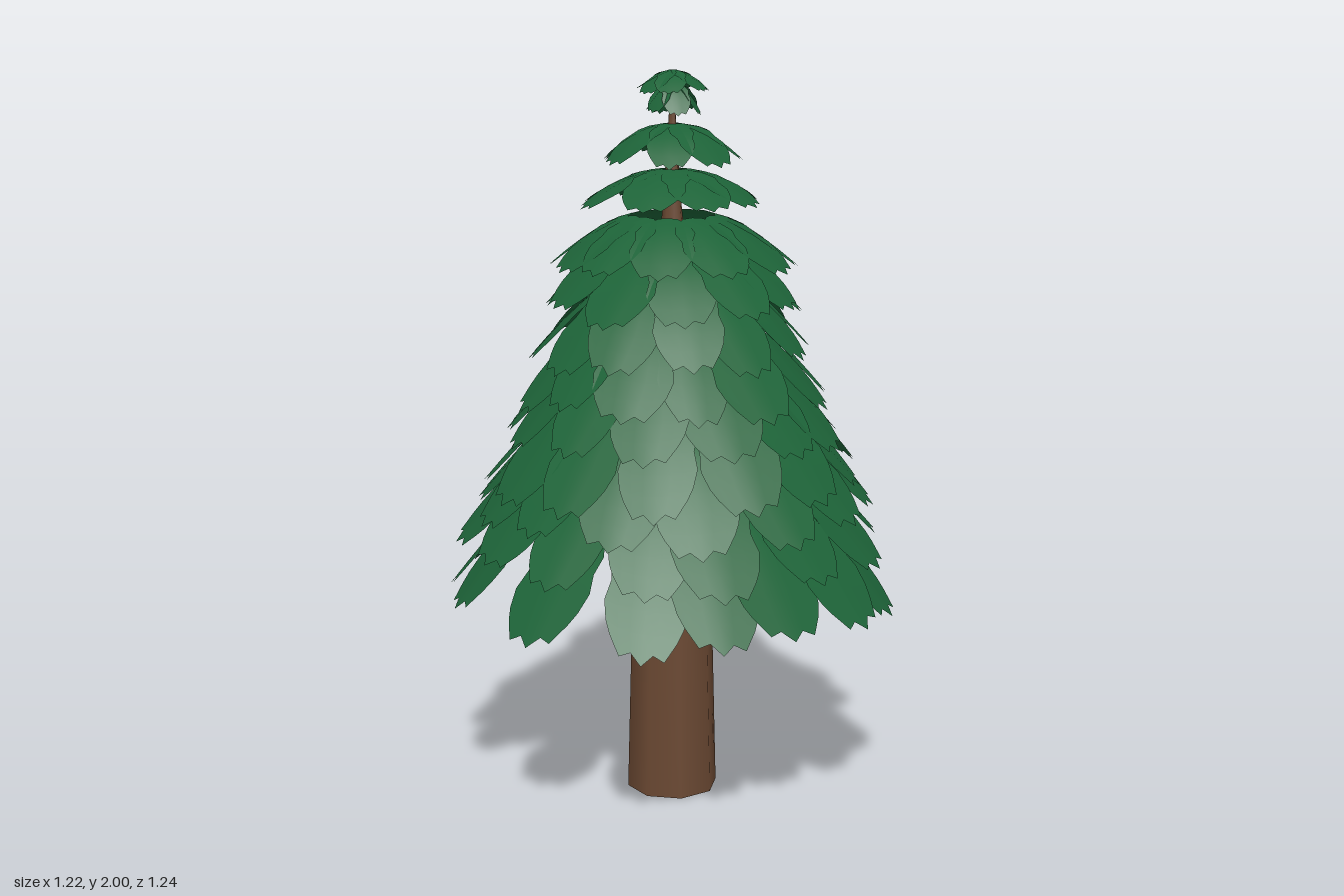
import * as THREE from 'three';
import { mergeGeometries } from 'three/addons/utils/BufferGeometryUtils.js';

const green = new THREE.MeshStandardMaterial({ color: 0x1d6338, side: THREE.DoubleSide });
green.name = 'needleGreen';
const brown = new THREE.MeshStandardMaterial({ color: 0x6a4832, side: THREE.DoubleSide });
brown.name = 'barkBrown';

// Small seeded generator, returns -1..1
let seed = 11;
const jitter = () => {
  seed = (seed * 16807) % 2147483647;
  return (seed / 2147483647) * 2 - 1;
};

// Half-width of a leaf from stem to tip; the alternation makes the ragged sides
const SPAN = [0.3, 0.72, 0.92, 0.88, 1.0, 0.92, 0.8];
const COLS = 6;

// One nearly flat, saw-toothed leaf from (r0, y0) out to (r1, y1), pointing along angle a.
// roll tips it sideways, bend > 1 makes it droop towards the tip.
function leaf(r0, y0, r1, y1, width, a, roll, bend) {
  const pos = [], index = [], rows = SPAN.length - 1;
  for (let i = 0; i <= rows; i++) {
    for (let j = 0; j <= COLS; j++) {
      const u = (j / COLS) * 2 - 1;
      // Rounded tip with teeth
      const reach = 1 - 0.13 * u * u - (j % 2 ? 0 : 0.07);
      const t = (i / rows) * (i === rows ? reach : 0.95 - 0.1 * u * u);
      const r = r0 + (r1 - r0) * t;
      const side = u * SPAN[i] * width / 2;
      const y = y0 + (y1 - y0) * Math.pow(t, bend) + side * roll - Math.abs(side) * 0.09;
      pos.push(r * Math.cos(a) - side * Math.sin(a), y, r * Math.sin(a) + side * Math.cos(a));
    }
  }
  for (let i = 0; i < rows; i++) {
    for (let j = 0; j < COLS; j++) {
      const p = i * (COLS + 1) + j, q = p + COLS + 1;
      index.push(p, p + 1, q, p + 1, q + 1, q);
    }
  }
  const g = new THREE.BufferGeometry();
  g.setAttribute('position', new THREE.Float32BufferAttribute(pos, 3));
  g.setIndex(index);
  g.computeVertexNormals();
  return g;
}

// Tiers from bottom to top: stem radius, stem height, tip radius, tip height, leaves, leaf width, bend
const TIERS = [
  [0.38, 0.85, 0.625, 0.575, 14, 0.24, 1.15],
  [0.34, 0.96, 0.585, 0.715, 14, 0.235, 1.15],
  [0.30, 1.06, 0.55, 0.81, 14, 0.225, 1.15],
  [0.27, 1.16, 0.515, 0.90, 13, 0.22, 1.15],
  [0.23, 1.25, 0.465, 1.01, 13, 0.21, 1.15],
  [0.19, 1.35, 0.42, 1.12, 12, 0.205, 1.2],
  [0.16, 1.45, 0.385, 1.24, 12, 0.195, 1.25],
  [0.135, 1.535, 0.355, 1.365, 11, 0.19, 1.3],
  [0.11, 1.62, 0.335, 1.48, 11, 0.18, 1.4],
  [0.03, 1.74, 0.25, 1.645, 8, 0.165, 1.6],
  [0.02, 1.86, 0.19, 1.76, 7, 0.14, 1.6],
  [0.01, 1.965, 0.075, 1.885, 6, 0.075, 1.4],
  [0.0, 2.0, 0.1, 1.945, 7, 0.08, 1.4],
];
// The lowest tier is unevenly spaced (degrees, from +x towards +z)
const LOW_ANGLES = [-9, -35, -60, -85, -108, -141, -169, 171, 138, 109, 90, 71, 49, 31];

export function createModel() {
  const tree = new THREE.Group();
  tree.name = 'pineTree';

  // Trunk, open below and tapering to the crown
  const profile = [[0.127, 0], [0.112, 0.58], [0.085, 1.0], [0.055, 1.35], [0.022, 1.68], [0.004, 1.97]];
  const trunk = new THREE.Mesh(
    new THREE.LatheGeometry(profile.map(([r, y]) => new THREE.Vector2(r, y)), 8), brown);
  trunk.name = 'trunk';
  trunk.position.set(-0.004, 0, 0.012);
  tree.add(trunk);

  // Leaf tiers
  TIERS.forEach(([r0, y0, r1, y1, n, w, bend], k) => {
    const leaves = [];
    for (let i = 0; i < n; i++) {
      const a = k === 0
        ? THREE.MathUtils.degToRad(LOW_ANGLES[i])
        : ((i + (k % 2) * 0.5 + jitter() * 0.16) / n) * Math.PI * 2 + k * 0.37;
      const s = 1 + jitter() * 0.025;
      const dy = k > 7 ? 0 : jitter() * 0.018;
      const roll = k > 7 ? 0 : jitter() * 0.14;
      leaves.push(leaf(r0, y0 + dy, r1 * s, y1 + dy - (s - 1) * 0.3, w * (1 + jitter() * 0.1), a, roll, bend));
    }
    const tier = new THREE.Mesh(mergeGeometries(leaves), green);
    tier.name = 'leafTier' + (k + 1);
    tree.add(tier);
  });

  return tree;
}
